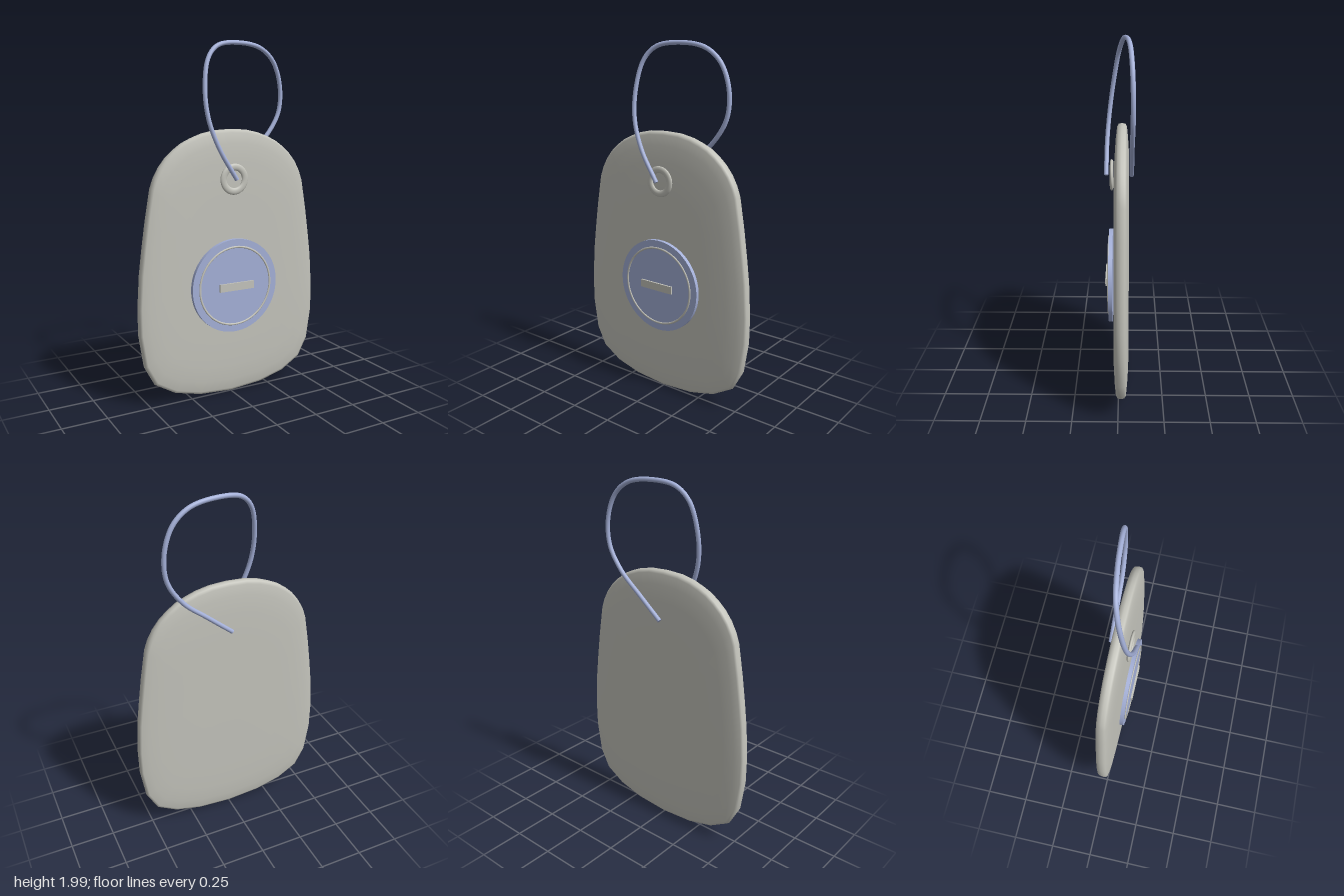
import * as THREE from 'three';

const grey = new THREE.MeshStandardMaterial({ name: 'warm grey', color: 0xc4c4bc });
const blue = new THREE.MeshStandardMaterial({ name: 'soft blue', color: 0xa4b0d8 });

function add(group, name, geometry, material, x = 0, y = 0, z = 0) {
  const mesh = new THREE.Mesh(geometry, material);
  mesh.name = name;
  mesh.position.set(x, y, z);
  group.add(mesh);
  return mesh;
}

// Right half of the tag outline, from bottom centre to top centre
const half = [
  [0, 0.005], [0.2, 0.02], [0.355, 0.06], [0.472, 0.13], [0.53, 0.24], [0.557, 0.42],
  [0.558, 0.57], [0.545, 0.76], [0.527, 0.9], [0.505, 1.05], [0.475, 1.22], [0.455, 1.275],
  [0.425, 1.33], [0.385, 1.38], [0.34, 1.42], [0.29, 1.455], [0.24, 1.478], [0.18, 1.5],
  [0.1, 1.517], [0, 1.522],
];

// Tag plate: scaled outline rings from back to front with a tapered, rounded rim
function plateGeometry() {
  const outline = [...half, ...half.slice(1, -1).reverse().map(([x, y]) => [-x, y])];
  const rings = [
    [0.55, -0.056], [0.78, -0.055], [0.9, -0.049], [0.975, -0.043], [0.994, -0.035],
    [1, -0.016],
    [0.994, 0.003], [0.975, 0.011], [0.9, 0.018], [0.78, 0.024], [0.55, 0.025],
  ];
  const n = outline.length, cy = 0.76, positions = [], index = [];
  for (const [s, z] of rings)
    for (const [x, y] of outline) positions.push(x * s, cy + (y - cy) * s, z);
  const back = rings.length * n, front = back + 1, last = (rings.length - 1) * n;
  positions.push(0, cy, -0.056, 0, cy, 0.025);
  for (let j = 0; j < n; j++) {
    const k = (j + 1) % n;
    for (let i = 0; i < rings.length - 1; i++) {
      const a = i * n + j, b = i * n + k;
      index.push(a, b, b + n, a, b + n, a + n);
    }
    index.push(back, k, j, front, last + j, last + k);
  }
  const g = new THREE.BufferGeometry();
  g.setAttribute('position', new THREE.Float32BufferAttribute(positions, 3));
  g.setIndex(index);
  g.computeVertexNormals();
  return g;
}

export function createModel() {
  const model = new THREE.Group();
  model.name = 'keyTag';

  add(model, 'tagBody', plateGeometry(), grey);

  // Eyelet around the cord hole
  const eyelet = new THREE.TorusGeometry(0.067, 0.019, 16, 64).scale(1, 1, 0.5);
  add(model, 'eyelet', eyelet, grey, 0, 1.25, 0.04);

  // Round battery cover with its ring and coin slot
  const cover = new THREE.CylinderGeometry(0.267, 0.267, 0.022, 72).rotateX(Math.PI / 2);
  add(model, 'batteryCover', cover, blue, 0, 0.65, 0.045);
  const ring = new THREE.TorusGeometry(0.223, 0.006, 10, 72).scale(1, 1, 0.7);
  add(model, 'coverRing', ring, grey, 0, 0.65, 0.058);
  add(model, 'coinSlot', new THREE.BoxGeometry(0.215, 0.044, 0.01), grey, 0, 0.65, 0.071);

  // Cord: from the eyelet up, over the top edge and down the back
  const path = new THREE.CatmullRomCurve3([
    [0, 1.25, 0.07], [-0.105, 1.42, 0.066], [-0.163, 1.58, 0.052], [-0.172, 1.74, 0.03],
    [-0.138, 1.895, 0.002], [-0.07, 1.965, -0.02], [0.065, 1.986, -0.042],
    [0.22, 1.963, -0.058], [0.312, 1.89, -0.067], [0.362, 1.755, -0.073],
    [0.354, 1.61, -0.073], [0.275, 1.48, -0.07], [0.14, 1.365, -0.07], [0, 1.25, -0.07],
  ].map((p) => new THREE.Vector3(...p)));
  const r = 0.0125;
  add(model, 'cord', new THREE.TubeGeometry(path, 140, r, 12), blue);

  // Flat ends of the cord
  for (const [t, sign] of [[0, -1], [1, 1]]) {
    const end = add(model, 'cordEnd', new THREE.CircleGeometry(r, 12), blue);
    end.position.copy(path.getPointAt(t));
    end.quaternion.setFromUnitVectors(
      new THREE.Vector3(0, 0, 1), path.getTangentAt(t).multiplyScalar(sign));
  }
  return model;
}
